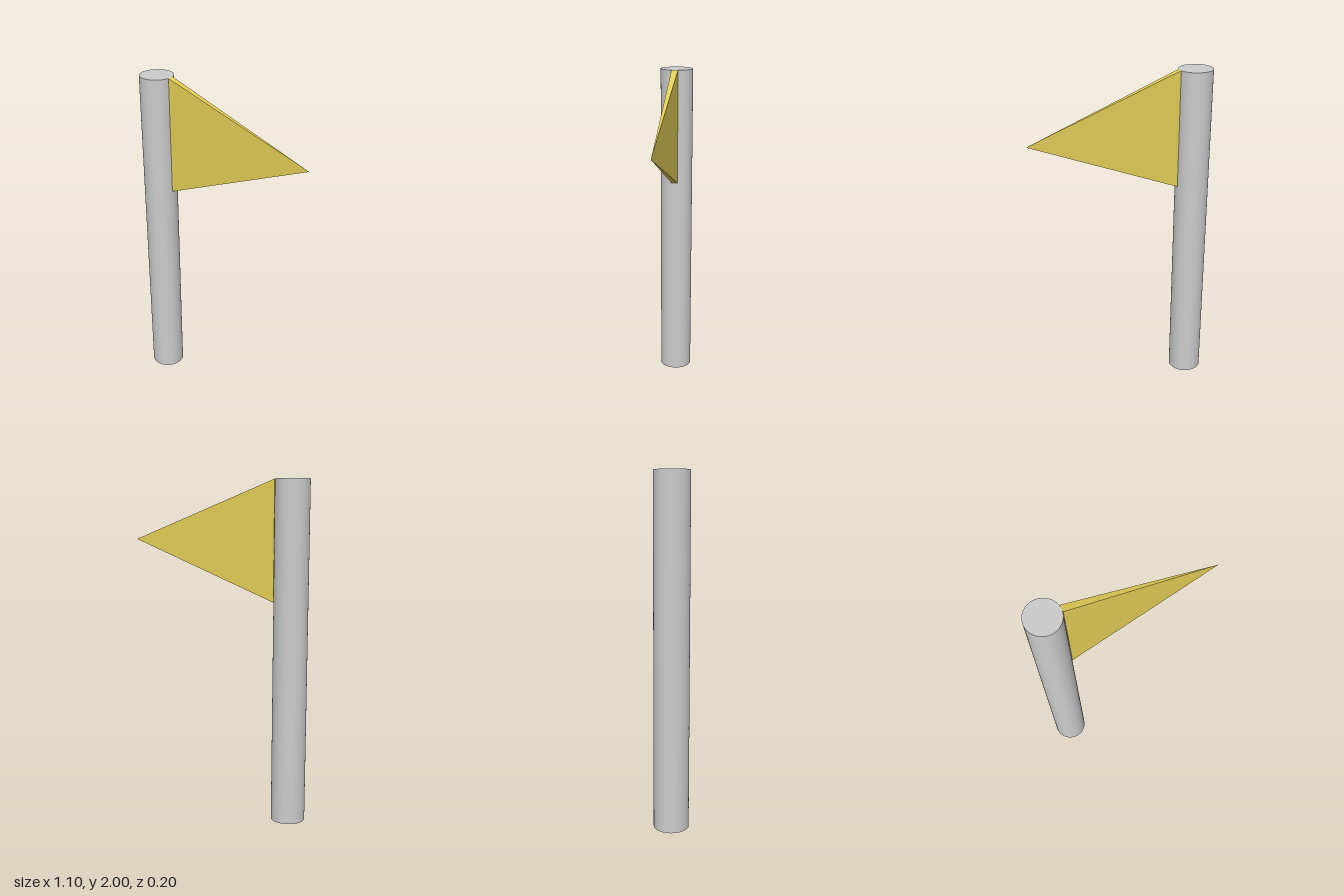
import * as THREE from 'three';

const POLE_RADIUS = 0.1;
const POLE_HEIGHT = 2;
const POLE_X = -0.45;
const FLAG_LENGTH = 0.9;
const FLAG_HEIGHT = 0.7;
const FLAG_THICKNESS = 0.04;

export function createModel() {
  const model = new THREE.Group();
  model.name = 'pennantOnPole';

  // Round pole, smooth sides and flat caps
  const pole = new THREE.Mesh(
    new THREE.CylinderGeometry(POLE_RADIUS, POLE_RADIUS, POLE_HEIGHT, 64),
    new THREE.MeshStandardMaterial({ color: 0xcccccc })
  );
  pole.name = 'pole';
  pole.position.set(POLE_X, POLE_HEIGHT / 2, 0);
  model.add(pole);

  // Pennant: a thin four-sided pyramid, base on the pole and point towards +x
  const pennantGeometry = new THREE.ConeGeometry(Math.SQRT1_2, 1, 4, 1, false, Math.PI / 4);
  pennantGeometry.scale(FLAG_HEIGHT, FLAG_LENGTH, FLAG_THICKNESS);
  pennantGeometry.rotateZ(-Math.PI / 2);
  const pennant = new THREE.Mesh(
    pennantGeometry,
    new THREE.MeshStandardMaterial({ color: 0xe2cc56, flatShading: true })
  );
  pennant.name = 'pennant';
  pennant.position.set(POLE_X + POLE_RADIUS + FLAG_LENGTH / 2, POLE_HEIGHT - FLAG_HEIGHT / 2, 0);
  model.add(pennant);

  return model;
}
